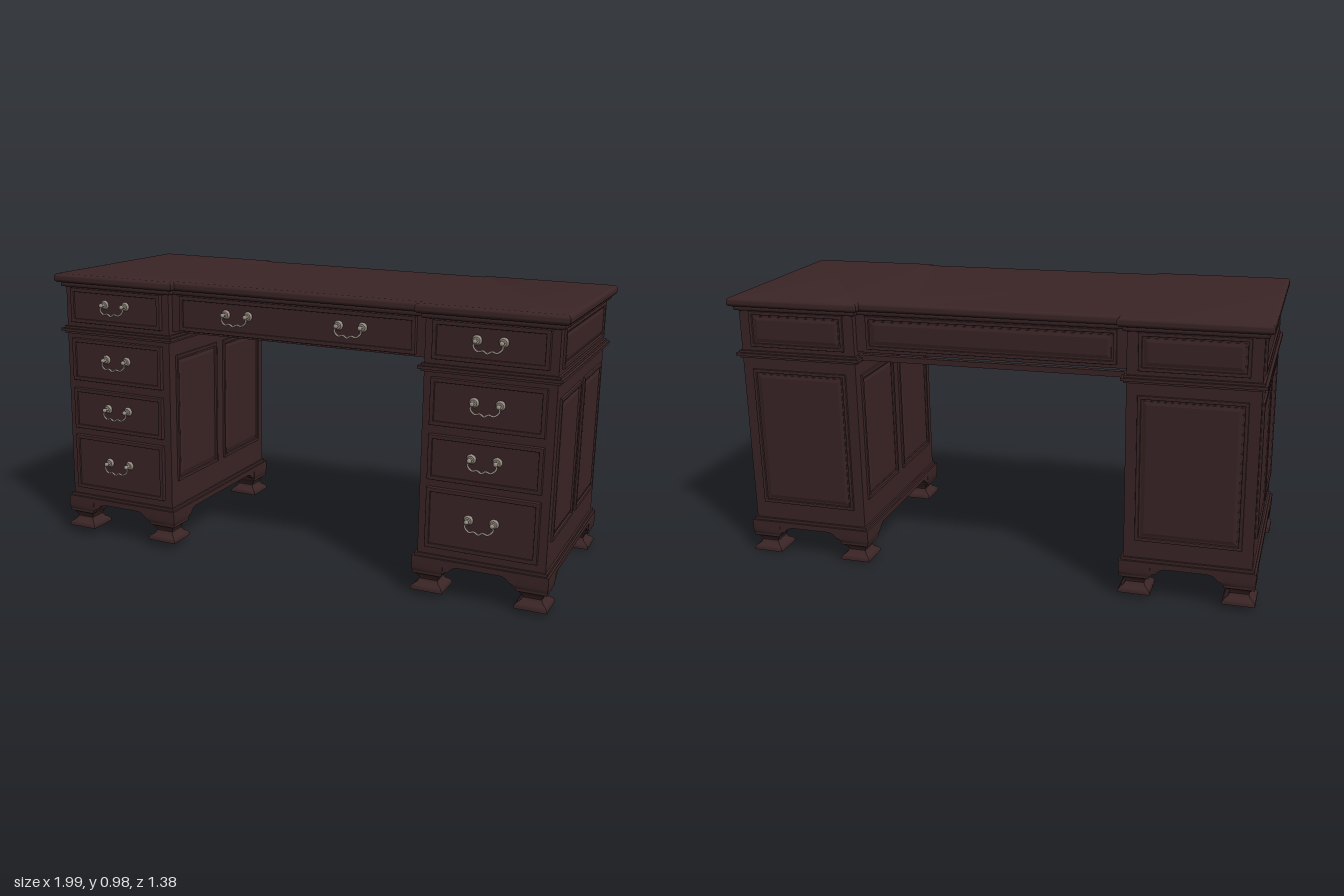
import * as THREE from 'three';
import { toCreasedNormals } from 'three/addons/utils/BufferGeometryUtils.js';

const wood = new THREE.MeshStandardMaterial({ color: 0x3b2526 });
wood.name = 'dark mahogany';
const metal = new THREE.MeshStandardMaterial({ color: 0x978c82 });
metal.name = 'aged pewter';

const HW = 0.212, HD = 0.345;      // pedestal half width and half depth
const PX = 0.678;                  // pedestal centre
const MID_D = 0.32;                // half depth of the middle section

function add(parent, name, geo, x = 0, y = 0, z = 0, mat = wood) {
  const m = new THREE.Mesh(geo, mat);
  m.name = name;
  m.position.set(x, y, z);
  parent.add(m);
  return m;
}

// box given by its bottom and top heights
function slab(parent, name, w, d, y0, y1, x = 0, z = 0) {
  return add(parent, name, new THREE.BoxGeometry(w, y1 - y0, d), x, (y0 + y1) / 2, z);
}

function rect(Type, w, h) {
  const p = new Type();
  p.moveTo(-w / 2, -h / 2);
  p.lineTo(w / 2, -h / 2);
  p.lineTo(w / 2, h / 2);
  p.lineTo(-w / 2, h / 2);
  p.closePath();
  return p;
}

// beaded frame round a raised field, facing local +z
function panel(parent, name, w, h, x, y, z, turn = 0, depth = 0.008) {
  const g = new THREE.Group();
  g.name = name;
  const ring = rect(THREE.Shape, w - 0.006, h - 0.006);
  ring.holes.push(rect(THREE.Path, w - 0.018, h - 0.018));
  add(g, 'bead', new THREE.ExtrudeGeometry(ring, {
    depth: depth * 0.6, bevelThickness: depth * 0.4, bevelSize: 0.003, bevelSegments: 2 }));
  add(g, 'field', new THREE.ExtrudeGeometry(rect(THREE.Shape, w - 0.06, h - 0.06), {
    depth: depth * 0.3, bevelThickness: depth * 0.4, bevelSize: 0.012, bevelSegments: 1 }));
  g.position.set(x, y, z);
  g.rotation.y = turn;
  parent.add(g);
}

// hanging bail on two rosettes
function handle(parent, x, y, z) {
  const g = new THREE.Group();
  g.name = 'handle';
  const path = [[-0.042, 0, 0.02], [-0.046, -0.016, 0.024], [-0.03, -0.03, 0.027], [-0.014, -0.026, 0.028],
    [0, -0.034, 0.028], [0.014, -0.026, 0.028], [0.03, -0.03, 0.027], [0.046, -0.016, 0.024], [0.042, 0, 0.02]];
  const curve = new THREE.CatmullRomCurve3(path.map(p => new THREE.Vector3(...p)));
  add(g, 'bail', new THREE.TubeGeometry(curve, 32, 0.0035, 6), 0, 0, 0, metal);
  for (const s of [-1, 1]) {
    const rose = add(g, 'rosette', new THREE.CylinderGeometry(0.011, 0.017, 0.008, 14), s * 0.042, 0, 0.003, metal);
    rose.rotation.x = Math.PI / 2;
    const post = add(g, 'post', new THREE.CylinderGeometry(0.005, 0.005, 0.024, 8), s * 0.042, 0, 0.012, metal);
    post.rotation.x = Math.PI / 2;
    add(g, 'knob', new THREE.SphereGeometry(0.008, 10, 8), s * 0.042, 0, 0.024, metal);
  }
  g.position.set(x, y, z);
  parent.add(g);
}

function drawer(parent, w, y0, y1, z, handles) {
  const h = y1 - y0, y = (y0 + y1) / 2;
  const g = new THREE.Group();
  g.name = 'drawer';
  add(g, 'drawerFront', new THREE.BoxGeometry(w, h, 0.012), 0, y, z + 0.004);
  const lip = rect(THREE.Shape, w - 0.006, h - 0.006);
  lip.holes.push(rect(THREE.Path, w - 0.022, h - 0.022));
  add(g, 'drawerLip', new THREE.ExtrudeGeometry(lip, {
    depth: 0.004, bevelThickness: 0.003, bevelSize: 0.003, bevelSegments: 2 }), 0, y, z + 0.01);
  for (const x of handles) handle(g, x, y + 0.01, z + 0.01);
  parent.add(g);
}

// square ogee foot with a spreading pad
function foot(parent, x, z) {
  const prof = [[0, 0], [0.054, 0], [0.054, 0.008], [0.048, 0.016], [0.036, 0.024], [0.031, 0.034],
    [0.034, 0.044], [0.042, 0.054], [0.051, 0.066], [0.053, 0.08], [0.053, 0.106]];
  const pts = prof.map(([r, y]) => new THREE.Vector2(r * Math.SQRT2, y));
  const geo = toCreasedNormals(new THREE.LatheGeometry(pts, 4, Math.PI / 4), 0.7);
  add(parent, 'foot', geo, x, 0, z);
}

// skirt board with a scrolled arch between the feet
function skirt(parent, w, x, z, turn) {
  const a = w / 2, s = new THREE.Shape();
  s.moveTo(-a, 0.106);
  s.lineTo(-a, 0.058);
  s.lineTo(-a + 0.1, 0.058);
  s.quadraticCurveTo(-a + 0.105, 0.078, -a + 0.122, 0.078);
  s.quadraticCurveTo(-a + 0.135, 0.098, -a + 0.16, 0.098);
  s.lineTo(a - 0.16, 0.098);
  s.quadraticCurveTo(a - 0.135, 0.098, a - 0.122, 0.078);
  s.quadraticCurveTo(a - 0.105, 0.078, a - 0.1, 0.058);
  s.lineTo(a, 0.058);
  s.lineTo(a, 0.106);
  const geo = new THREE.ExtrudeGeometry(s, { depth: 0.02, bevelEnabled: false });
  geo.translate(0, 0, -0.02);
  add(parent, 'skirt', geo, x, 0, z).rotation.y = turn;
}

function pedestal(side) {
  const g = new THREE.Group();
  g.name = side > 0 ? 'leftPedestal' : 'rightPedestal';
  g.position.x = side * PX;
  slab(g, 'lowerCase', 2 * HW, 2 * HD, 0.1, 0.74);
  slab(g, 'upperCase', 2 * HW, 2 * HD, 0.74, 0.91);

  // mouldings at the base, waist and cornice
  slab(g, 'baseMoulding', 2 * HW + 0.028, 2 * HD + 0.028, 0.1, 0.118);
  slab(g, 'baseBead', 2 * HW + 0.014, 2 * HD + 0.014, 0.118, 0.128);
  slab(g, 'waistMoulding', 2 * HW + 0.034, 2 * HD + 0.034, 0.738, 0.748);
  slab(g, 'waistBead', 2 * HW + 0.016, 2 * HD + 0.016, 0.73, 0.756);

  // drawers
  for (const [y0, y1] of [[0.155, 0.357], [0.383, 0.532], [0.562, 0.715], [0.773, 0.896]])
    drawer(g, 0.37, y0, y1, HD, [0]);

  // panels on both sides and the back
  for (const s of [-1, 1]) {
    for (const z of [-0.165, 0.165])
      panel(g, 'sidePanel', 0.28, 0.46, s * HW, 0.45, z, s * Math.PI / 2);
  }
  panel(g, 'upperSidePanel', 0.61, 0.125, side * HW, 0.833, 0, side * Math.PI / 2);
  panel(g, 'backPanel', 0.35, 0.5, 0, 0.44, -HD, Math.PI);
  panel(g, 'upperBackPanel', 0.35, 0.125, 0, 0.833, -HD, Math.PI);

  // bracket feet
  const e = 0.012;
  for (const s of [-1, 1]) {
    skirt(g, 2 * (HW + e), 0, s * (HD + e), s > 0 ? 0 : Math.PI);
    skirt(g, 2 * (HD + e), s * (HW + e), 0, s * Math.PI / 2);
    for (const t of [-1, 1]) foot(g, s * (HW + 0.015 - 0.054), t * (HD + 0.015 - 0.054));
  }
  return g;
}

// top outline with shallow breaks along the front and the back
function topOutline(inset) {
  const x = 0.92 - inset, z = 0.374 - inset, n = 0.438 + inset, m = 0.35 - inset;
  const half = [[-x, -z], [-n, -z], [-n, -m], [n, -m], [n, -z], [x, -z]];
  const pts = [...half, ...half.map(([a, b]) => [-a, -b])];
  return new THREE.Shape(pts.map(([a, b]) => new THREE.Vector2(a, b)));
}

function topLayer(parent, name, inset, y0, y1, bevel) {
  const geo = new THREE.ExtrudeGeometry(topOutline(inset + bevel), {
    depth: y1 - y0 - 2 * bevel, bevelThickness: bevel, bevelSize: bevel, bevelSegments: 4 });
  geo.translate(0, 0, bevel);
  geo.rotateX(-Math.PI / 2);
  add(parent, name, toCreasedNormals(geo, 0.6), 0, y0, 0);
}

export function createModel() {
  const desk = new THREE.Group();
  desk.name = 'desk';
  for (const side of [-1, 1]) desk.add(pedestal(side));

  // middle section over the kneehole
  const middle = new THREE.Group();
  middle.name = 'middleSection';
  slab(middle, 'kneeholeCase', 0.94, 2 * MID_D, 0.767, 0.91);
  drawer(middle, 0.86, 0.775, 0.896, MID_D, [-0.207, 0.207]);
  panel(middle, 'backApronPanel', 0.86, 0.115, 0, 0.836, -MID_D, Math.PI);
  slab(middle, 'backRail', 0.94, 0.02, 0.738, 0.757, 0, -MID_D + 0.01);
  desk.add(middle);

  // table top and the cornice beneath it
  topLayer(desk, 'cornice', 0.016, 0.898, 0.916, 0.005);
  topLayer(desk, 'tableTop', 0, 0.913, 0.945, 0.012);

  // turned on the floor and leaning very slightly
  desk.rotation.y = 0.384;
  const model = new THREE.Group();
  model.name = 'pedestalDesk';
  model.add(desk);
  model.rotation.set(-0.02, 0, -0.003);
  model.position.set(0, 0.016, 0.018);
  const root = new THREE.Group();
  root.name = 'model';
  root.add(model);
  return root;
}
